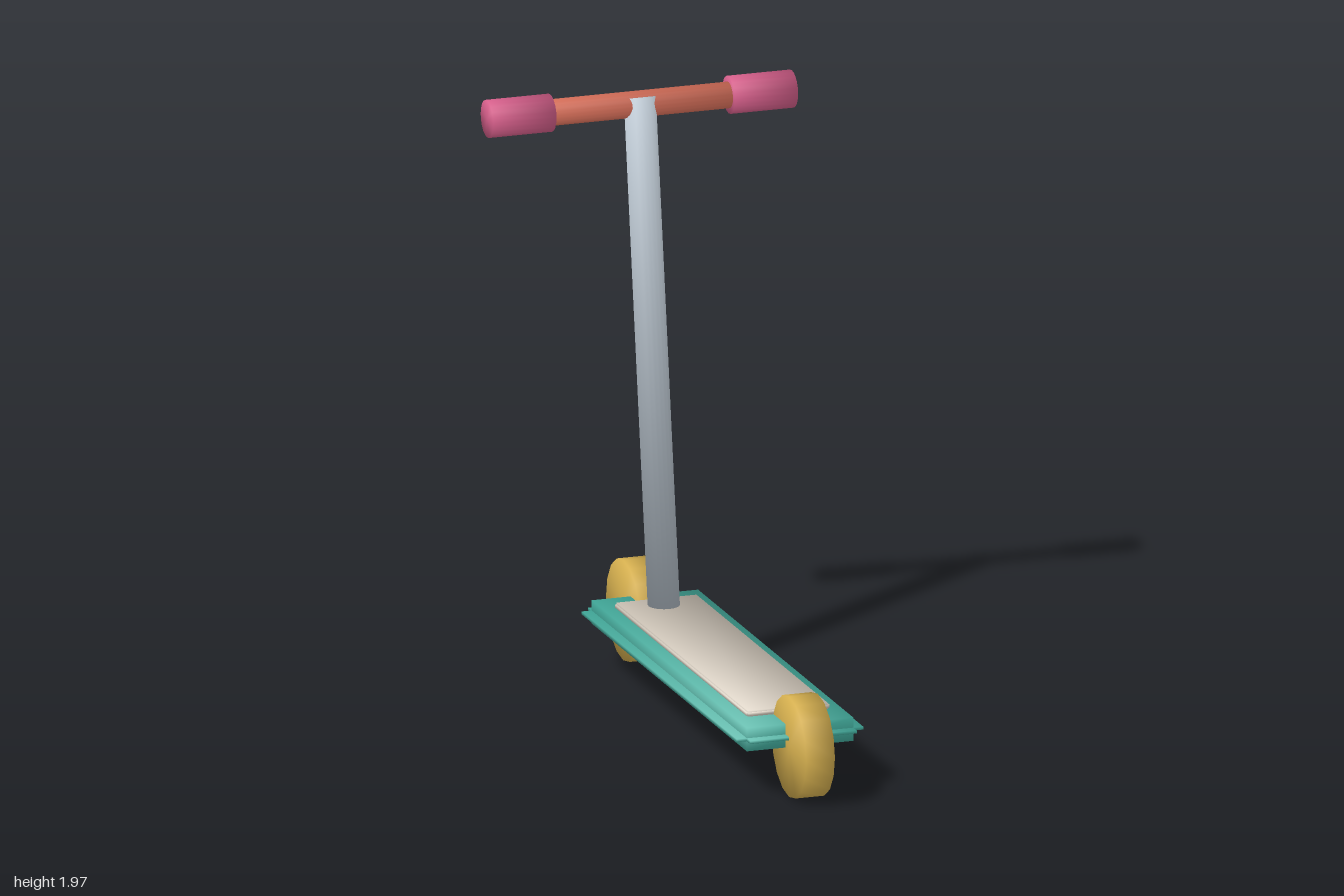
import * as THREE from 'three';

const paint = (name, color) => {
  const m = new THREE.MeshStandardMaterial({ color });
  m.name = name;
  return m;
};

// Share one averaged normal per corner, so shading flows over every edge
function softNormals(geometry) {
  const p = geometry.attributes.position, n = geometry.attributes.normal;
  const key = i => [p.getX(i), p.getY(i), p.getZ(i)].map(v => Math.round(v * 1e4)).join();
  const sums = new Map();
  for (let i = 0; i < p.count; i++) {
    const v = new THREE.Vector3().fromBufferAttribute(n, i);
    const list = sums.get(key(i)) ?? [];
    if (!list.some(u => u.distanceTo(v) < 0.01)) list.push(v);
    sums.set(key(i), list);
  }
  for (let i = 0; i < p.count; i++) {
    const s = new THREE.Vector3();
    sums.get(key(i)).forEach(v => s.add(v));
    s.normalize();
    n.setXYZ(i, s.x, s.y, s.z);
  }
  return geometry;
}

export function createModel() {
  const model = new THREE.Group();
  model.name = 'kickScooter';
  const teal = paint('teal', 0x45b3a3);
  const cream = paint('cream', 0xd9cfc1);
  const gold = paint('gold', 0xd6b04f);
  const silver = paint('silver', 0xbac5cf);
  const coral = paint('coral', 0xdb715b);
  const pink = paint('pink', 0xd65f8b);

  const add = (name, geometry, material, parent = model) => {
    const mesh = new THREE.Mesh(softNormals(geometry), material);
    mesh.name = name;
    parent.add(mesh);
    return mesh;
  };

  // Three crossed slabs: a core with a thin lip along the sides and ends
  function steppedSlab(name, w, h, d, step, material, y, z) {
    const slab = new THREE.Group();
    slab.name = name;
    slab.position.set(0, y, z);
    const iw = w - 2 * step, ih = h - 2 * step, id = d - 2 * step;
    add(name + 'Core', new THREE.BoxGeometry(iw, h, id), material, slab);
    add(name + 'SideLip', new THREE.BoxGeometry(w, ih, id), material, slab);
    add(name + 'EndLip', new THREE.BoxGeometry(iw, ih, d), material, slab);
    model.add(slab);
  }
  steppedSlab('deck', 0.44, 0.08, 1.62, 0.035, teal, 0.2, 0.02);
  steppedSlab('gripMat', 0.29, 0.022, 1.325, 0.006, cream, 0.249, 0.017);

  // Round bar along x
  const barX = (r, len, sides) =>
    new THREE.CylinderGeometry(r, r, len, sides).rotateZ(Math.PI / 2);

  // Wheels at both ends
  for (const [name, z] of [['frontWheel', 0.828], ['rearWheel', -0.828]]) {
    add(name, barX(0.172, 0.1, 16), gold).position.set(0, 0.172, z);
  }

  // Leaning steering post
  const bottom = new THREE.Vector3(0, 0.22, -0.561);
  const top = new THREE.Vector3(0, 1.935, -0.806);
  const axis = top.clone().sub(bottom);
  const post = add('steeringPost', new THREE.CylinderGeometry(0.053, 0.053, axis.length(), 20), silver);
  post.position.copy(bottom).add(top).multiplyScalar(0.5);
  post.quaternion.setFromUnitVectors(new THREE.Vector3(0, 1, 0), axis.normalize());

  // Handlebar with a grip at each end
  add('handlebar', barX(0.044, 1.0, 20), coral).position.set(0, 1.908, -0.81);
  for (const [name, s] of [['leftGrip', 1], ['rightGrip', -1]]) {
    add(name, barX(0.063, 0.22, 20), pink).position.set(s * 0.42, 1.908, -0.81);
  }
  return model;
}
